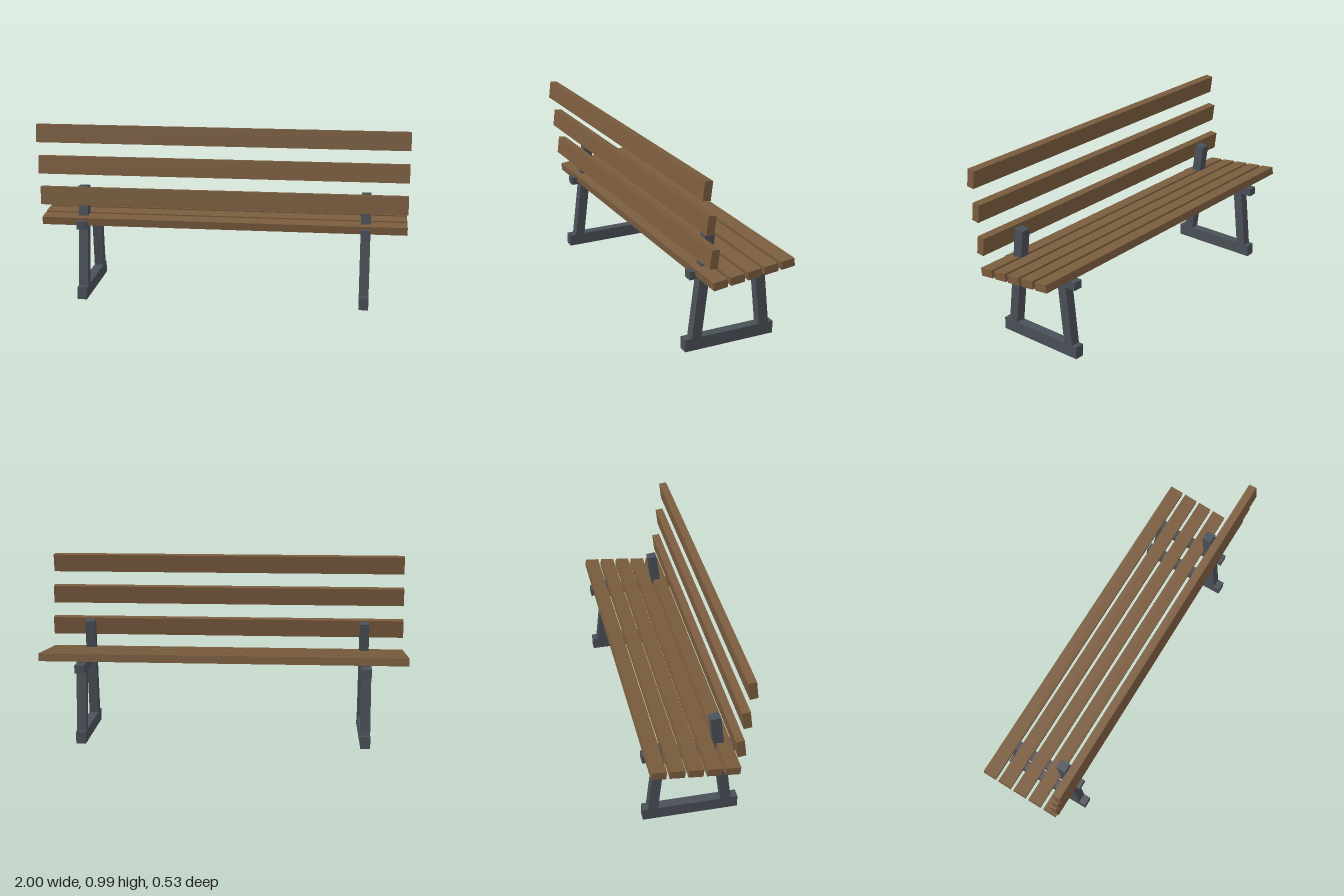
import * as THREE from 'three';

export function createModel() {
  const bench = new THREE.Group();
  bench.name = 'parkBench';
  const wood = new THREE.MeshStandardMaterial({ color: 0x7a5c3e });
  const metal = new THREE.MeshStandardMaterial({ color: 0x4a5058 });

  // Box of size (w, h, d) centred at (x, y, z), tilted about the x axis
  function addBox(parent, name, material, [w, h, d], [x, y, z], tilt = 0) {
    const mesh = new THREE.Mesh(new THREE.BoxGeometry(w, h, d), material);
    mesh.name = name;
    mesh.position.set(x, y, z);
    mesh.rotation.x = tilt;
    parent.add(mesh);
  }

  // Leaning bar between two (z, y) points
  function addBar(parent, name, [z0, y0], [z1, y1]) {
    const length = Math.hypot(z1 - z0, y1 - y0);
    const tilt = Math.atan2(z1 - z0, y1 - y0);
    addBox(parent, name, metal, [0.053, length, 0.054], [0, (y0 + y1) / 2, (z0 + z1) / 2], tilt);
  }

  // Seat slats, rising towards -z
  for (let i = 0; i < 5; i++) {
    addBox(bench, 'seatSlat', wood, [2, 0.043, 0.077],
      [0, 0.438 + i * 0.01, 0.158 - i * 0.0945], 0.11);
  }

  // Backrest slats
  for (let i = 0; i < 3; i++) {
    addBox(bench, 'backSlat', wood, [2, 0.098, 0.043],
      [0, 0.579 + i * 0.178, 0.193 + i * 0.022], -0.122);
  }

  // Two end frames: foot, seat rail, long upright and short leg
  for (const side of [-1, 1]) {
    const frame = new THREE.Group();
    frame.name = side > 0 ? 'leftFrame' : 'rightFrame';
    frame.position.x = side * 0.777;
    addBox(frame, 'foot', metal, [0.053, 0.068, 0.512], [0, 0.034, -0.009]);
    addBox(frame, 'seatRail', metal, [0.053, 0.044, 0.49], [0, 0.418, -0.02]);
    addBar(frame, 'upright', [0.19, 0.004], [0.114, 0.621]);
    addBar(frame, 'leg', [-0.217, 0.004], [-0.168, 0.469]);
    bench.add(frame);
  }
  return bench;
}
